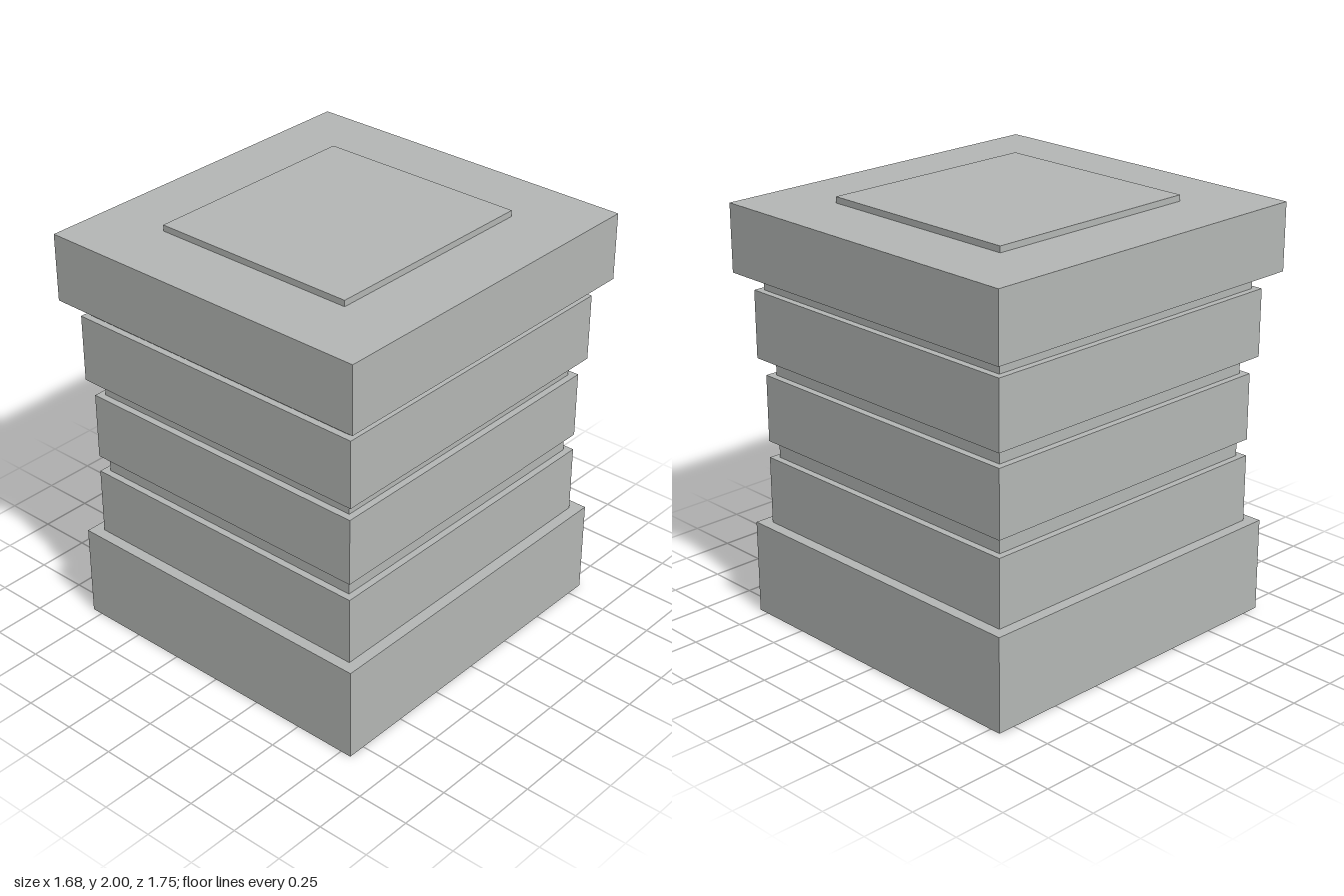
import * as THREE from 'three';

// Stacked rectangular blocks: [name, bottom, top, half width, half depth]
const TIERS = [
  ['base', 0, 0.45, 0.803, 0.836],
  ['lowerBlock', 0.45, 0.773, 0.75, 0.783],
  ['lowerNeck', 0.773, 0.853, 0.718, 0.75],
  ['middleBlock', 0.853, 1.172, 0.75, 0.783],
  ['middleNeck', 1.172, 1.253, 0.718, 0.75],
  ['upperBlock', 1.253, 1.573, 0.776, 0.809],
  ['upperNeck', 1.573, 1.653, 0.745, 0.777],
  ['cap', 1.653, 1.971, 0.84, 0.873],
  ['topPlate', 1.971, 2, 0.512, 0.545],
];

export function createModel() {
  const model = new THREE.Group();
  model.name = 'steppedPillar';
  const stone = new THREE.MeshStandardMaterial({ color: 0xb4b7b5 });
  stone.name = 'grey stone';

  for (const [name, bottom, top, halfW, halfD] of TIERS) {
    const block = new THREE.Mesh(new THREE.BoxGeometry(halfW * 2, top - bottom, halfD * 2), stone);
    block.name = name;
    block.position.y = (bottom + top) / 2;
    model.add(block);
  }
  return model;
}
